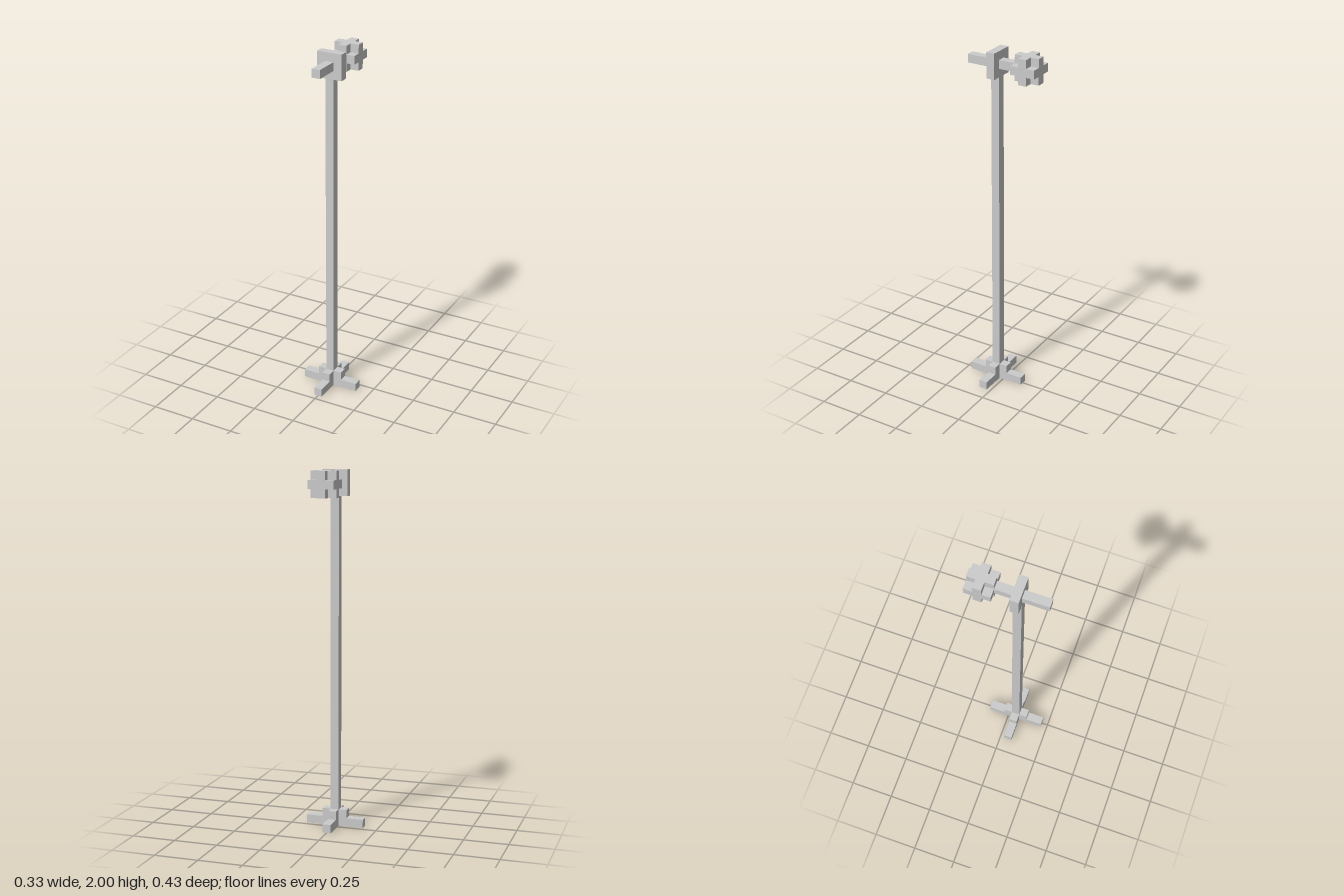
import * as THREE from 'three';

const U = 2 / 42; // one block
const POLE_Z = 1;
const KNOB_Z = -3;

export function createModel() {
  const model = new THREE.Group();
  model.name = 'blockPost';
  const material = new THREE.MeshStandardMaterial({ color: 0xcccccc, flatShading: true });

  function add(name, geometry, x, y, z) {
    const mesh = new THREE.Mesh(geometry, material);
    mesh.name = name;
    mesh.position.set(x * U, y * U, z * U);
    model.add(mesh);
  }

  // Box given in blocks: centred in x, from y0 to y1 and from z0 to z1
  function box(name, width, y0, y1, z0, z1) {
    const geometry = new THREE.BoxGeometry(width * U, (y1 - y0) * U, (z1 - z0) * U);
    add(name, geometry, 0, (y0 + y1) / 2, (z0 + z1) / 2);
  }

  // Flat plus sign, one block thick, with its underside at y
  function cross(name, span, y, z) {
    const a = 0.5 * U;
    const b = (span / 2) * U;
    const shape = new THREE.Shape([
      [a, -b], [a, -a], [b, -a], [b, a], [a, a], [a, b],
      [-a, b], [-a, a], [-b, a], [-b, -a], [-a, -a], [-a, -b],
    ].map(([px, py]) => new THREE.Vector2(px, py)));
    const geometry = new THREE.ExtrudeGeometry(shape, { depth: U, bevelEnabled: false });
    geometry.rotateX(-Math.PI / 2);
    add(name, geometry, 0, y, z);
  }

  // Stepped cross base and pole
  cross('baseFeet', 7, 0, POLE_Z);
  cross('baseCollar', 3, 1, POLE_Z);
  box('pole', 1, 2, 39, POLE_Z - 0.5, POLE_Z + 0.5);

  // Square head plate with an arm running through it
  box('headPlate', 3, 39, 42, POLE_Z - 0.5, POLE_Z + 0.5);
  box('frontArm', 1, 40, 41, 1.5, 4.5);
  box('backArm', 1, 40, 41, -1.5, 0.5);

  // Knob: a three-block cube without its eight corners
  cross('knobBottom', 3, 39, KNOB_Z);
  box('knobMiddle', 3, 40, 41, KNOB_Z - 1.5, KNOB_Z + 1.5);
  cross('knobTop', 3, 41, KNOB_Z);

  return model;
}
